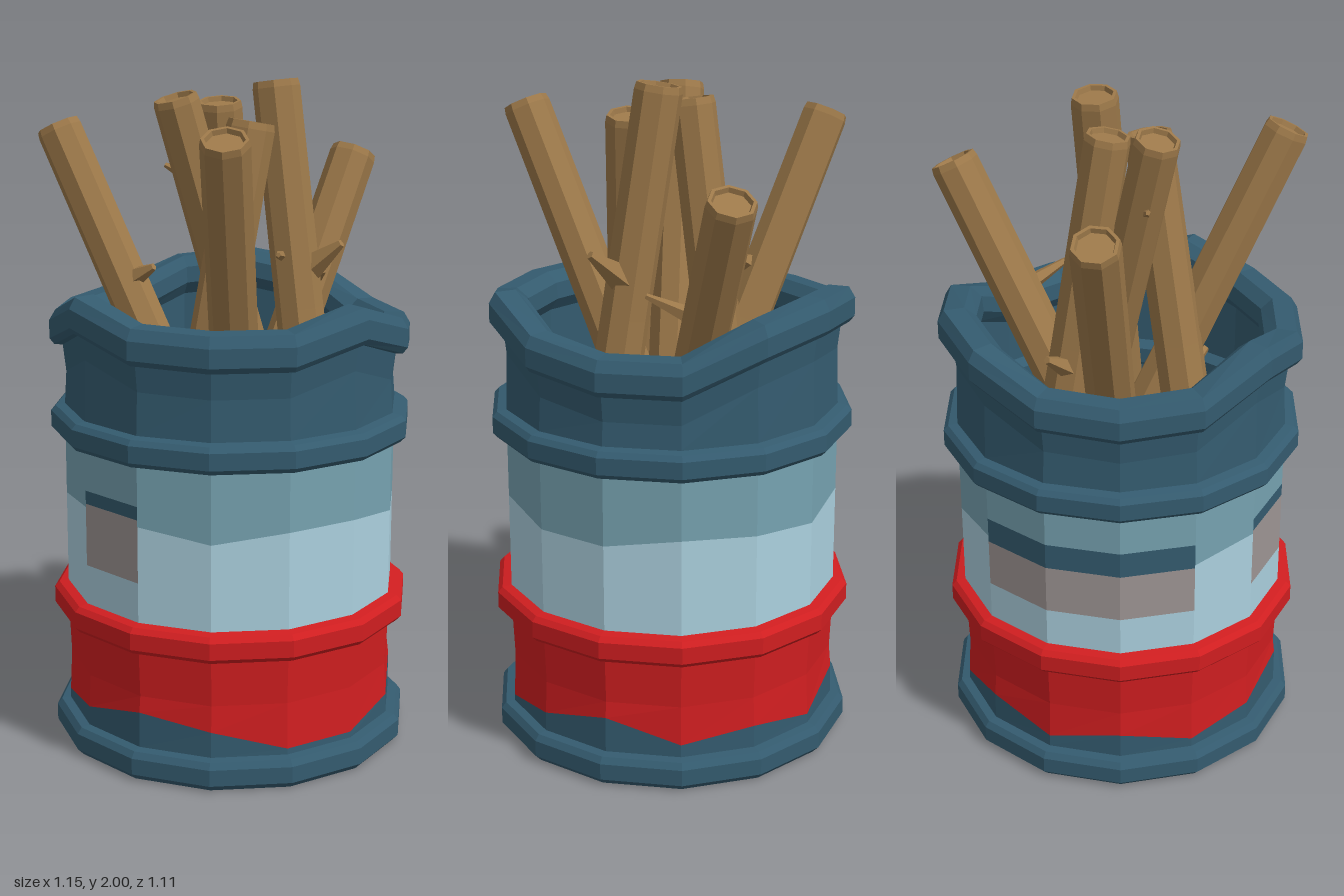
import * as THREE from 'three';

const SIDES = 14, CX = 0.042, CZ = -0.015;
const paint = (name, color) => {
  const m = new THREE.MeshStandardMaterial({ color, flatShading: true });
  m.name = name;
  return m;
};

// Height of the dented rim and of the worn paint edges at each corner, from the front round to +x
const RIM = [1.35, 1.35, 1.40, 1.33, 1.30, 1.30, 1.39, 1.42, 1.40, 1.33, 1.32, 1.33, 1.41, 1.355];
const WEAR = [0.17, 0.11, 0.11, 0.15, 0.20, 0.13, 0.16, 0.12, 0.18, 0.13, 0.17, 0.12, 0.15, 0.20];
const FADE = [0.74, 0.77, 0.77, 0.74, 0.74, 0.77, 0.76, 0.74, 0.77, 0.75, 0.77, 0.76, 0.78, 0.77];

const ALL = [...Array(SIDES).keys()];
const PATCH = [8, 9, 10, 12];
const REST = ALL.filter(k => !PATCH.includes(k));

// Faceted skin through rows of [radius, height]; a height may be a function of the corner
function skin(name, rows, material, segments = ALL) {
  const pos = [];
  const corner = ([r, y], k) => {
    const a = (k % SIDES) * Math.PI * 2 / SIDES;
    return [CX + r * Math.sin(a), typeof y === 'function' ? y(k % SIDES) : y, CZ + r * Math.cos(a)];
  };
  for (let i = 0; i + 1 < rows.length; i++) {
    for (const k of segments) {
      const a = corner(rows[i], k), b = corner(rows[i], k + 1);
      const c = corner(rows[i + 1], k + 1), d = corner(rows[i + 1], k);
      if (rows[i][0] > 0) pos.push(...a, ...b, ...c);
      if (rows[i + 1][0] > 0) pos.push(...a, ...c, ...d);
    }
  }
  const geo = new THREE.BufferGeometry();
  geo.setAttribute('position', new THREE.Float32BufferAttribute(pos, 3));
  geo.computeVertexNormals();
  const mesh = new THREE.Mesh(geo, material);
  mesh.name = name;
  return mesh;
}

// Rounded hoop profile between two heights
const hoop = (y0, y1) => [
  [0.502, y0], [0.53, y0 + 0.005], [0.544, y0 + 0.02],
  [0.544, y1 - 0.02], [0.53, y1 - 0.005], [0.502, y1],
];

function stick(name, top, foot, r, material) {
  const a = new THREE.Vector3(...foot), dir = new THREE.Vector3(...top).sub(a);
  const L = dir.length();
  const profile = [
    [0, 0], [r * 1.1, 0], [r * 1.12, L * 0.3], [r * 1.02, L * 0.65], [r, L - 0.02],
    [r * 0.94, L], [r * 0.8, L], [r * 0.74, L - 0.014], [0, L - 0.014],
  ].map(p => new THREE.Vector2(...p));
  const mesh = new THREE.Mesh(new THREE.LatheGeometry(profile, 8), material);
  mesh.name = name;
  mesh.position.copy(a);
  mesh.quaternion.setFromUnitVectors(new THREE.Vector3(0, 1, 0), dir.normalize());
  return mesh;
}

// Broken side twig: a short pointed stub from base to tip
function twig(base, tip, r, material) {
  const a = new THREE.Vector3(...base), dir = new THREE.Vector3(...tip).sub(a);
  const L = dir.length();
  const geo = new THREE.CylinderGeometry(r * 0.25, r, L, 5).translate(0, L / 2, 0);
  const mesh = new THREE.Mesh(geo, material);
  mesh.name = 'twigStub';
  mesh.position.copy(a);
  mesh.quaternion.setFromUnitVectors(new THREE.Vector3(0, 1, 0), dir.normalize());
  return mesh;
}

export function createModel() {
  const blue = paint('darkBluePaint', 0x345b6f);
  const red = paint('redPaint', 0xd01e20);
  const pale = paint('paleBluePaint', 0xabd0de);
  const teal = paint('fadedBluePaint', 0x76a2b0);
  const grey = paint('greyPatchPaint', 0x9e9594);
  const wood = paint('wood', 0x9d794a);

  const model = new THREE.Group();
  model.name = 'barrelOfSticks';
  const barrel = new THREE.Group();
  barrel.name = 'barrel';
  model.add(barrel);

  const wear = k => WEAR[k], fade = k => FADE[k];
  const rim = d => k => RIM[k] + d;
  const patchTop = k => (k < 12 ? 0.75 : 0.79);
  const upper = hoop(0.95, 1.04), middle = hoop(0.39, 0.48);

  barrel.add(
    // Recessed base, bottom hoop and worn lower edge
    skin('base', [[0, 0.02], [0.46, 0.02], [0.475, 0], [0.525, 0], [0.544, 0.02],
      [0.544, 0.07], [0.53, 0.088], [0.503, 0.092], [0.502, wear]], blue),
    skin('redBand', [[0.502, wear], [0.496, 0.25], ...middle], red),
    // Pale wall, faded upper wall
    skin('paleWall', [[0.502, 0.48], [0.502, fade]], pale, REST),
    skin('fadedWall', [[0.502, fade], [0.502, 0.95]], teal, REST),
    // Painted patch on the back left and front
    skin('paleWallUnderPatch', [[0.502, 0.48], [0.502, 0.60]], pale, PATCH),
    skin('patch', [[0.502, 0.60], [0.502, patchTop]], grey, PATCH),
    skin('patchEdge', [[0.502, patchTop], [0.502, 0.83]], blue, PATCH),
    skin('fadedWallOverPatch', [[0.502, 0.83], [0.502, 0.95]], teal, PATCH),
    // Upper hoop with red underside
    skin('hoopUnderside', upper.slice(0, 2), red),
    skin('upperHoop', upper.slice(1), blue),
    // Top wall, dented lip, inside and floor
    skin('topWallAndLip', [
      [0.502, 1.04], [0.496, rim(-0.19)], [0.505, rim(-0.11)], [0.53, rim(-0.108)],
      [0.544, rim(-0.09)], [0.544, rim(-0.035)], [0.525, rim(-0.003)], [0.465, rim(0)],
      [0.43, rim(-0.03)], [0.425, rim(-0.08)], [0.455, rim(-0.12)], [0.455, 1.04],
      [0.425, 1.02], [0.425, 0.97], [0.455, 0.95], [0.455, 0.06], [0, 0.06]], blue),
  );

  // Sticks: top, foot, radius
  const sticks = new THREE.Group();
  sticks.name = 'sticks';
  model.add(sticks);
  [
    [[-0.515, 1.838, -0.205], [0.30, 0.09, 0.08], 0.07],
    [[0.38, 1.745, -0.452], [-0.15, 0.1, 0.24], 0.072],
    [[0.08, 1.88, 0.49], [0.06, 0.1, -0.36], 0.07],
    [[0.165, 1.99, -0.065], [0.4, 0.1, 0.12], 0.07],
    [[-0.115, 1.95, 0.055], [0.36, 0.1, -0.2], 0.068],
    [[0.0, 1.93, -0.06], [0.04, 0.1, -0.35], 0.068],
    [[0.11, 1.885, 0.08], [-0.18, 0.1, 0.28], 0.071],
  ].forEach(([t, f, r], i) => sticks.add(stick('stick' + (i + 1), t, f, r, wood)));

  // Broken twigs on the sticks
  [
    [[-0.30, 1.37, -0.12], [-0.20, 1.43, -0.07], 0.045],
    [[0.26, 1.44, -0.01], [0.37, 1.53, 0.03], 0.05],
    [[0.25, 1.35, -0.30], [0.31, 1.42, -0.12], 0.035],
    [[-0.04, 1.70, 0.03], [-0.15, 1.75, 0.02], 0.03],
    [[0.20, 1.48, -0.02], [0.19, 1.50, 0.08], 0.03],
    [[0.07, 1.0, 0.10], [0.24, 1.10, 0.30], 0.05],
    [[0.0, 1.2, -0.16], [-0.07, 1.28, -0.26], 0.045],
    [[0.04, 0.5, -0.30], [0.13, 0.6, -0.41], 0.04],
  ].forEach(([b, t, r]) => sticks.add(twig(b, t, r, wood)));

  return model;
}
